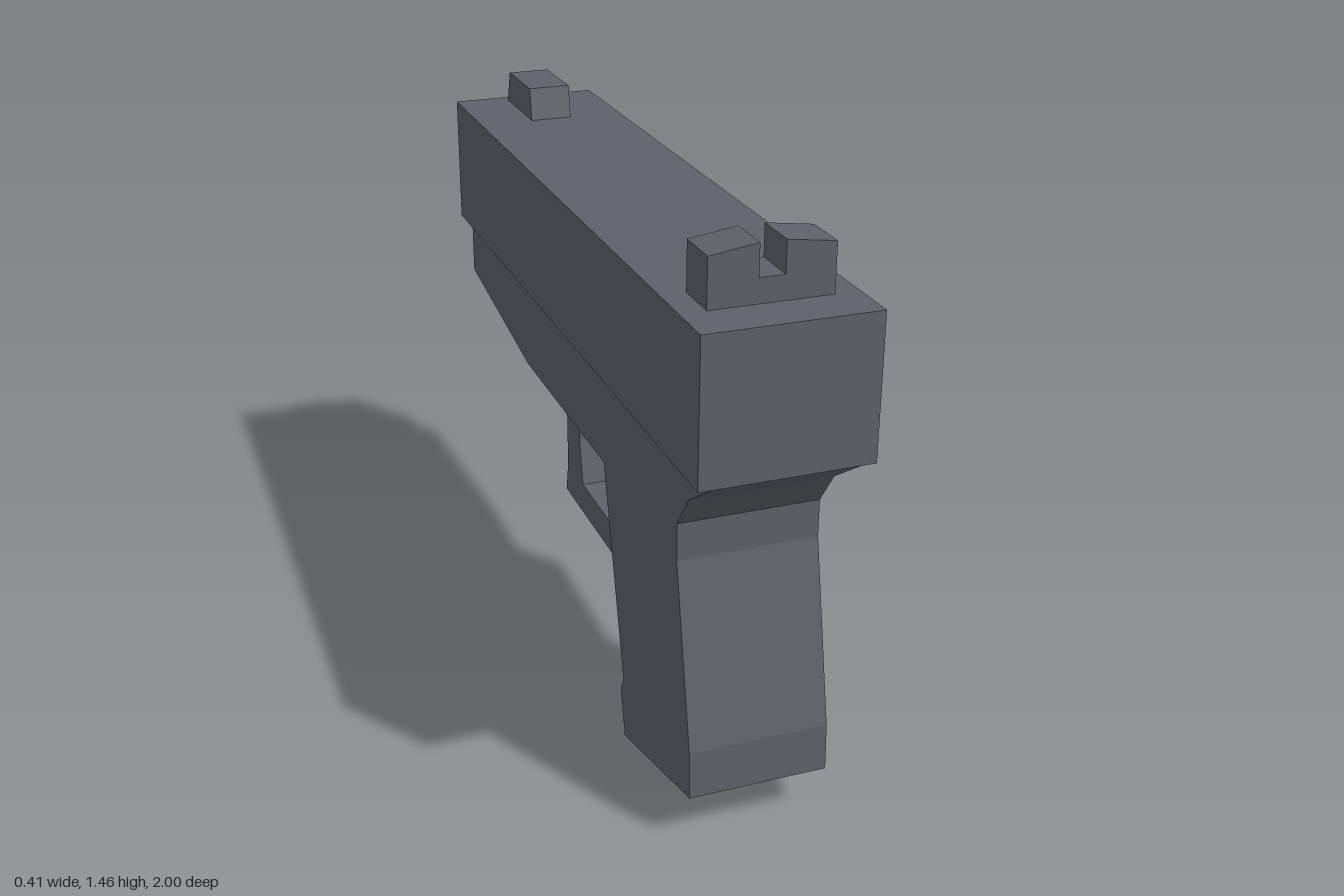
import * as THREE from 'three';

const gunmetal = new THREE.MeshStandardMaterial({ color: 0x5e6169 });
gunmetal.name = 'gunmetal grey';

const HALF = 0.173; // half width of the frame and grip

function part(name, geometry) {
  const mesh = new THREE.Mesh(geometry, gunmetal);
  mesh.name = name;
  return mesh;
}

const outline = (points) => new THREE.Shape(points.map(([a, b]) => new THREE.Vector2(a, b)));

// Extrudes a side profile of [z, y] points across x, centred on x = 0
function sideProfile(points, width) {
  const geo = new THREE.ExtrudeGeometry(outline(points), { depth: width, bevelEnabled: false });
  geo.translate(0, 0, -width / 2);
  geo.rotateY(-Math.PI / 2);
  return geo;
}

// Front of the frame: lower corners are cut away progressively towards the muzzle
function noseGeometry(zFront, zRear) {
  const section = [
    [-HALF, 0.975], [-HALF, 0.795], [-HALF + 0.05, 0.71],
    [HALF - 0.05, 0.71], [HALF, 0.795], [HALF, 0.975],
  ];
  const depth = zRear - zFront;
  const geo = new THREE.ExtrudeGeometry(outline(section), { depth, bevelEnabled: false });
  const pos = geo.attributes.position;
  for (let i = 0; i < pos.count; i++) {
    if (pos.getZ(i) > depth / 2 && pos.getY(i) < 0.9) {
      pos.setX(i, Math.sign(pos.getX(i)) * HALF);
      pos.setY(i, 0.71);
    }
  }
  geo.translate(0, 0, zFront);
  geo.computeVertexNormals();
  return geo;
}

// Octagonal disc on the muzzle face
function disc(name, y, radius) {
  const geo = new THREE.CylinderGeometry(radius, radius, 0.06, 8).toNonIndexed();
  geo.computeVertexNormals();
  geo.rotateX(Math.PI / 2);
  const mesh = part(name, geo);
  mesh.position.set(0, y, -0.97);
  return mesh;
}

export function createModel() {
  const model = new THREE.Group();
  model.name = 'pistol';

  // Slide
  const slide = part('slide', new THREE.BoxGeometry(0.41, 0.35, 1.94));
  slide.position.set(0, 1.147, 0.03);
  model.add(slide);

  // Grip and rear of the frame in one profile
  model.add(part('gripAndFrame', sideProfile([
    [1.0, 0.973], [0.87, 0.885], [0.805, 0.795], [0.805, 0.7], [0.9, 0.245],
    [0.905, 0.125], [0.455, 0.0], [0.425, 0.125], [0.445, 0.165],
    [0.3, 0.71], [-0.36, 0.71], [-0.36, 0.973],
  ], HALF * 2)));
  model.add(part('frameNose', noseGeometry(-0.937, -0.36)));

  // Trigger guard and trigger
  model.add(part('triggerGuard', sideProfile([
    [0.4, 0.42], [0.37, 0.415], [0.29, 0.393], [-0.185, 0.393], [-0.167, 0.48],
    [-0.17, 0.72], [-0.06, 0.72], [-0.06, 0.6], [-0.035, 0.477],
    [0.29, 0.477], [0.355, 0.508], [0.4, 0.52],
  ], 0.24)));
  model.add(part('trigger', sideProfile([
    [0.3, 0.715], [0.3, 0.695], [0.22, 0.605], [0.125, 0.545],
    [0.085, 0.585], [0.195, 0.65], [0.25, 0.715],
  ], 0.1)));

  // Front sight
  model.add(part('frontSight', sideProfile([
    [-0.66, 1.32], [-0.675, 1.41], [-0.88, 1.41], [-0.91, 1.32],
  ], 0.115)));

  // Notched rear sight
  const rearSight = part('rearSight', new THREE.ExtrudeGeometry(outline([
    [-0.145, 1.32], [0.145, 1.32], [0.145, 1.44], [0.03, 1.456],
    [0.03, 1.38], [-0.03, 1.38], [-0.03, 1.456], [-0.145, 1.44],
  ]), { depth: 0.115, bevelEnabled: false }));
  rearSight.position.z = 0.767;
  model.add(rearSight);

  // Muzzle and guide rod ends
  model.add(disc('muzzle', 1.157, 0.118));
  model.add(disc('guideRod', 0.865, 0.09));

  return model;
}
